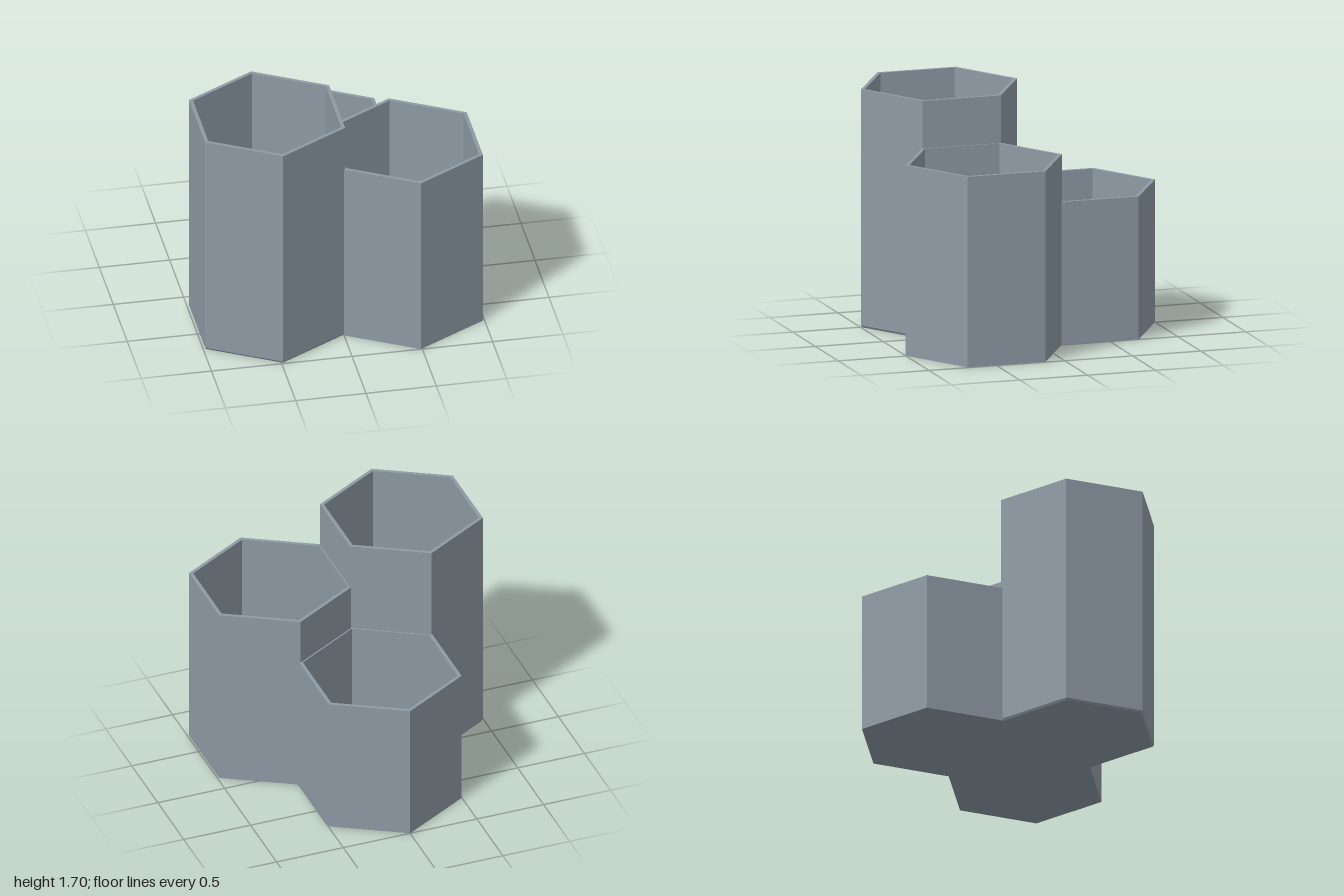
import * as THREE from 'three';

const RADIUS = 0.575; // outer corner radius
const INNER = 0.546; // inner corner radius
const FLOOR = 0.025; // floor thickness

// Open six-sided cup with a flat floor; bevel trims the bottom outer edge.
function hexCup(height, bevel) {
  const profile = [
    [0, 0],
    [RADIUS - bevel * 0.75, 0],
    ...(bevel ? [[RADIUS, bevel]] : []),
    [RADIUS, height],
    [INNER, height],
    [INNER, FLOOR],
    [0, FLOOR],
  ].map(([r, y]) => new THREE.Vector2(r, y));
  const geometry = new THREE.LatheGeometry(profile, 6).toNonIndexed();
  geometry.computeVertexNormals(); // crisp flat facets
  return geometry;
}

export function createModel() {
  const group = new THREE.Group();
  group.name = 'hexagonalOrganizer';

  const greyBlue = new THREE.MeshStandardMaterial({ color: 0x8d9aa4 });
  greyBlue.name = 'greyBlue';

  // Three cups in a honeycomb cluster, their shared walls overlapping
  const cups = [
    { name: 'tallCup', x: -0.49, z: 0.425, height: 1.7, bevel: 0.015 },
    { name: 'middleCup', x: 0.49, z: 0.425, height: 1.36, bevel: 0 },
    { name: 'shortCup', x: 0, z: -0.425, height: 1.02, bevel: 0 },
  ];
  for (const { name, x, z, height, bevel } of cups) {
    const cup = new THREE.Mesh(hexCup(height, bevel), greyBlue);
    cup.name = name;
    cup.position.set(x, 0, z);
    group.add(cup);
  }
  return group;
}
